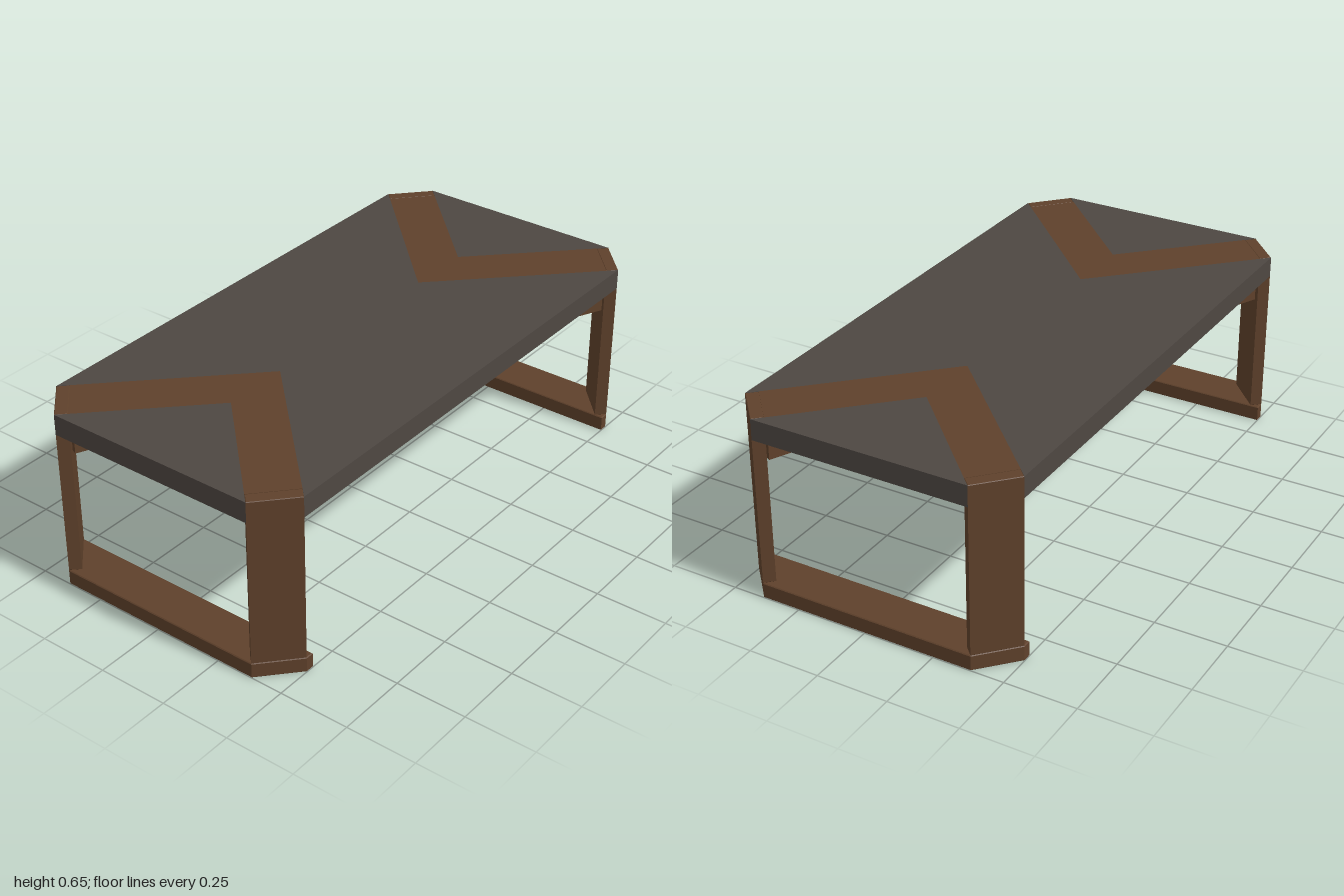
import * as THREE from 'three';

const wood = new THREE.MeshStandardMaterial({ name: 'walnut brown', color: 0x5f412b });
const stone = new THREE.MeshStandardMaterial({ name: 'dark grey top', color: 0x4e4742 });

const TOP = 0.65, SLAB = 0.577, FOOT = 0.055;

// Prism from a plan outline of [x, z] points, between heights y0 and y1
function prism(name, plan, y0, y1, material, bevel = 0) {
  const shape = new THREE.Shape(plan.map(([x, z]) => new THREE.Vector2(x, z)));
  const geo = new THREE.ExtrudeGeometry(shape, {
    depth: y1 - y0 - 2 * bevel,
    bevelEnabled: bevel > 0,
    bevelThickness: bevel,
    bevelSize: bevel,
    bevelOffset: -bevel,
    bevelSegments: 1,
  });
  geo.rotateX(Math.PI / 2);
  geo.translate(0, y1 - bevel, 0);
  const mesh = new THREE.Mesh(geo, material);
  mesh.name = name;
  return mesh;
}

export function createModel() {
  const table = new THREE.Group();
  table.name = 'coffeeTable';

  // Centre panel of the top, notched at both ends
  table.add(prism('centrePanel', [
    [0.5, -0.875], [0.5, 0.875], [0, 0.375],
    [-0.5, 0.875], [-0.5, -0.875], [0, -0.375],
  ], SLAB, TOP, stone));

  for (const s of [1, -1]) {
    const flip = (plan) => plan.map(([x, z]) => [x, z * s]);
    const end = s > 0 ? 'front' : 'back';

    // Triangular end panel and the V band inlaid through the top
    table.add(prism(end + 'EndPanel', flip([[0.385, 1], [0, 0.615], [-0.385, 1]]), SLAB, TOP, stone));
    table.add(prism(end + 'VBand', flip([
      [0.355, 0.97], [0, 0.615], [-0.355, 0.97],
      [-0.47, 0.845], [0, 0.375], [0.47, 0.845],
    ]), SLAB, TOP, wood));

    // Foot rail joining the two legs of this end
    table.add(prism(end + 'FootRail', flip([
      [0.385, 1], [0.5, 0.875], [0.5, 0.845],
      [-0.5, 0.845], [-0.5, 0.875], [-0.385, 1],
    ]), 0, FOOT, wood, 0.003));

    // Board legs set across the cut corners
    for (const m of [1, -1]) {
      const plan = [[0.385, 1], [0.5, 0.875], [0.47, 0.845], [0.355, 0.97]];
      table.add(prism(end + (m > 0 ? 'Left' : 'Right') + 'Leg',
        flip(plan.map(([x, z]) => [x * m, z])), FOOT, TOP, wood, 0.002));
    }
  }

  // Crossed beams under the top, running from leg to leg
  for (const s of [1, -1]) {
    const beam = new THREE.Mesh(
      new THREE.BoxGeometry(0.1, SLAB - 0.478, 2 * Math.hypot(0.42, 0.915)), wood);
    beam.name = s > 0 ? 'crossBeamA' : 'crossBeamB';
    beam.position.y = (SLAB + 0.478) / 2;
    beam.rotation.y = s * Math.atan2(0.42, 0.915);
    table.add(beam);
  }
  return table;
}
